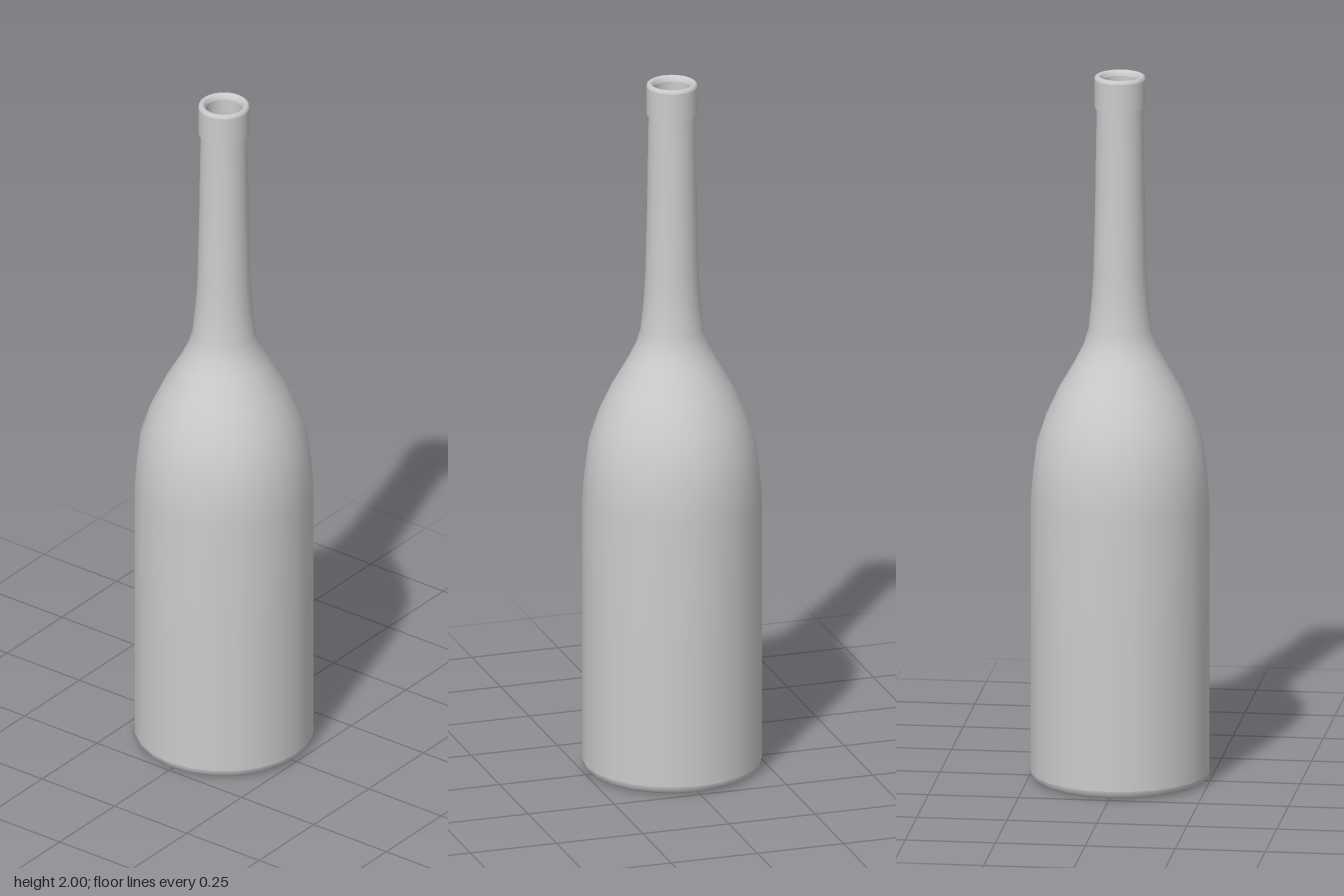
import * as THREE from 'three';

const SIDES = 24;
const material = new THREE.MeshStandardMaterial({ color: 0xcccccc, side: THREE.DoubleSide });

// Turn a profile of [radius, height] pairs around the bottle's axis
function turned(name, profile) {
  const points = profile.map(([r, y]) => new THREE.Vector2(r, y));
  const mesh = new THREE.Mesh(new THREE.LatheGeometry(points, SIDES), material);
  mesh.name = name;
  return mesh;
}

export function createModel() {
  const bottle = new THREE.Group();
  bottle.name = 'bottle';

  // Hollow underside: small recess in the middle of a shallow cone, out to the foot
  bottle.add(turned('punt', [
    [0, 0.125], [0.04, 0.12], [0.06, 0.105], [0.07, 0.08], [0.085, 0.07],
    [0.15, 0.045], [0.2, 0.015], [0.215, 0.002], [0.228, 0],
  ]));

  // Rounded foot edge
  bottle.add(turned('foot', [[0.228, 0], [0.238, 0.004], [0.246, 0.013], [0.248, 0.024]]));

  // Straight body, sloping shoulder and long tapering neck
  bottle.add(turned('body', [
    [0.248, 0.024], [0.248, 0.4], [0.248, 0.79], [0.241, 0.87], [0.231, 0.95],
    [0.205, 1.03], [0.168, 1.11], [0.122, 1.19], [0.1, 1.235], [0.087, 1.28],
    [0.079, 1.36], [0.074, 1.44], [0.069, 1.65], [0.065, 1.91],
  ]));

  // Band around the mouth, with a flat underside and a rounded lip
  bottle.add(turned('bandUnderside', [[0.064, 1.91], [0.071, 1.91]]));
  bottle.add(turned('band', [[0.071, 1.91], [0.071, 1.99]]));
  bottle.add(turned('lip', [
    [0.071, 1.99], [0.069, 1.997], [0.064, 2], [0.058, 1.999], [0.053, 1.994], [0.05, 1.985],
  ]));

  // Inside wall, from the mouth down to the raised floor
  bottle.add(turned('inside', [
    [0.05, 1.985], [0.052, 1.5], [0.07, 1.28], [0.11, 1.18], [0.19, 1.03],
    [0.216, 0.95], [0.232, 0.79], [0.232, 0.05], [0.215, 0.035], [0.15, 0.065],
    [0.09, 0.095], [0.06, 0.13], [0.04, 0.14], [0, 0.145],
  ]));

  return bottle;
}
